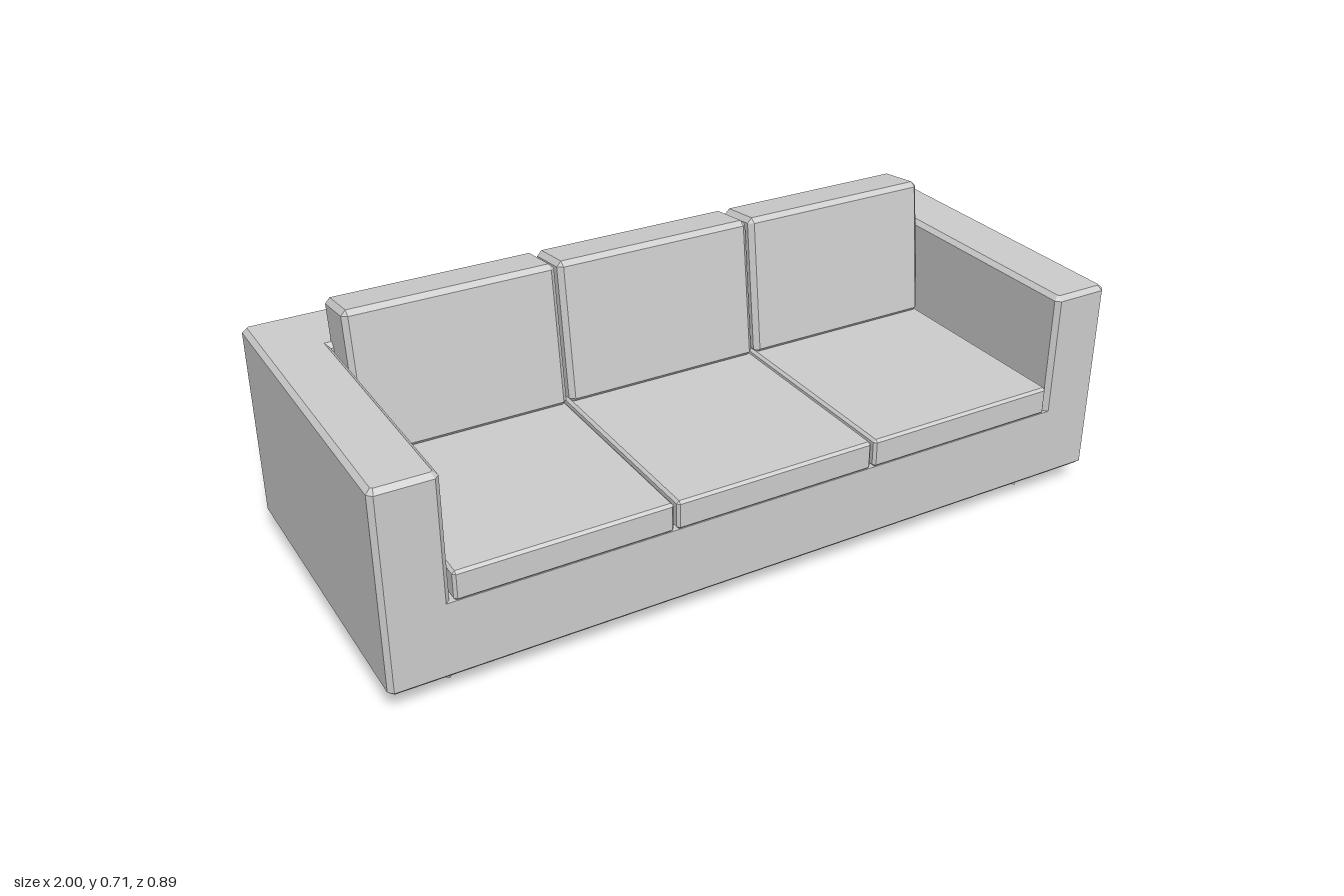
import * as THREE from 'three';
import { ConvexGeometry } from 'three/addons/geometries/ConvexGeometry.js';

const material = new THREE.MeshStandardMaterial({ color: 0xcccccc, flatShading: true });

function add(parent, name, geometry, x = 0, y = 0, z = 0) {
  const mesh = new THREE.Mesh(geometry, material);
  mesh.name = name;
  mesh.position.set(x, y, z);
  parent.add(mesh);
  return mesh;
}

// Box with every edge cut by a flat chamfer
function chamferBox(w, h, d, c) {
  const points = [];
  for (const x of [-1, 1]) for (const y of [-1, 1]) for (const z of [-1, 1]) {
    const p = new THREE.Vector3(x * w / 2, y * h / 2, z * d / 2);
    points.push(
      new THREE.Vector3(p.x, p.y - y * c, p.z - z * c),
      new THREE.Vector3(p.x - x * c, p.y, p.z - z * c),
      new THREE.Vector3(p.x - x * c, p.y - y * c, p.z));
  }
  return new ConvexGeometry(points);
}

const polygon = (points) => new THREE.Shape(points.map(([x, y]) => new THREE.Vector2(x, y)));

export function createModel() {
  const sofa = new THREE.Group();
  sofa.name = 'sofa';

  const c = 0.012;
  const bottom = 0.057, top = 0.59, front = 0.441, back = -0.443;
  const innerX = 0.84, innerZ = -0.24, seatBase = 0.26;

  // Arms and back: one U-shaped plan, raised with chamfered rims
  const half = [
    [innerX, -innerZ], [innerX, -front + c], [innerX + c, -front],
    [1 - c, -front], [1, -front + c], [1, -back - c], [1 - c, -back],
  ];
  const plan = polygon([...half, ...half.map(([x, y]) => [-x, y]).reverse()]);
  const frame = new THREE.ExtrudeGeometry(plan, {
    depth: top - bottom - 2 * c, bevelEnabled: true, bevelSegments: 1,
    bevelSize: c, bevelThickness: c, bevelOffset: -c,
  });
  frame.rotateX(-Math.PI / 2);
  add(sofa, 'armsAndBack', frame, 0, bottom + c, 0);

  // Seat base: side section swept across between the arms
  const section = polygon([
    [-front, bottom + c], [-front + c, bottom], [-innerZ + 0.03, bottom],
    [-innerZ + 0.03, seatBase], [-front, seatBase],
  ]);
  const width = 2 * (innerX + c);
  const base = new THREE.ExtrudeGeometry(section, { depth: width, bevelEnabled: false });
  base.rotateY(Math.PI / 2);
  add(sofa, 'seatBase', base, -width / 2, 0, 0);

  // Three seat cushions and three leaning back cushions
  const seatGeometry = chamferBox(0.55, 0.077, 0.685, 0.007);
  const backGeometry = chamferBox(0.55, 0.38, 0.14, 0.013);
  for (const i of [-1, 0, 1]) {
    add(sofa, 'seatCushion', seatGeometry, i * 0.558, 0.2985, 0.1025);
    add(sofa, 'backCushion', backGeometry, i * 0.558, 0.514, -0.192).rotation.x = -0.12;
  }

  // Square legs turned on their corners
  const legGeometry = new THREE.CylinderGeometry(0.05, 0.05, 0.06, 4);
  for (const x of [-1, 1]) for (const z of [-1, 1]) {
    add(sofa, 'leg', legGeometry, x * 0.832, 0.03, z * 0.318);
  }

  return sofa;
}
